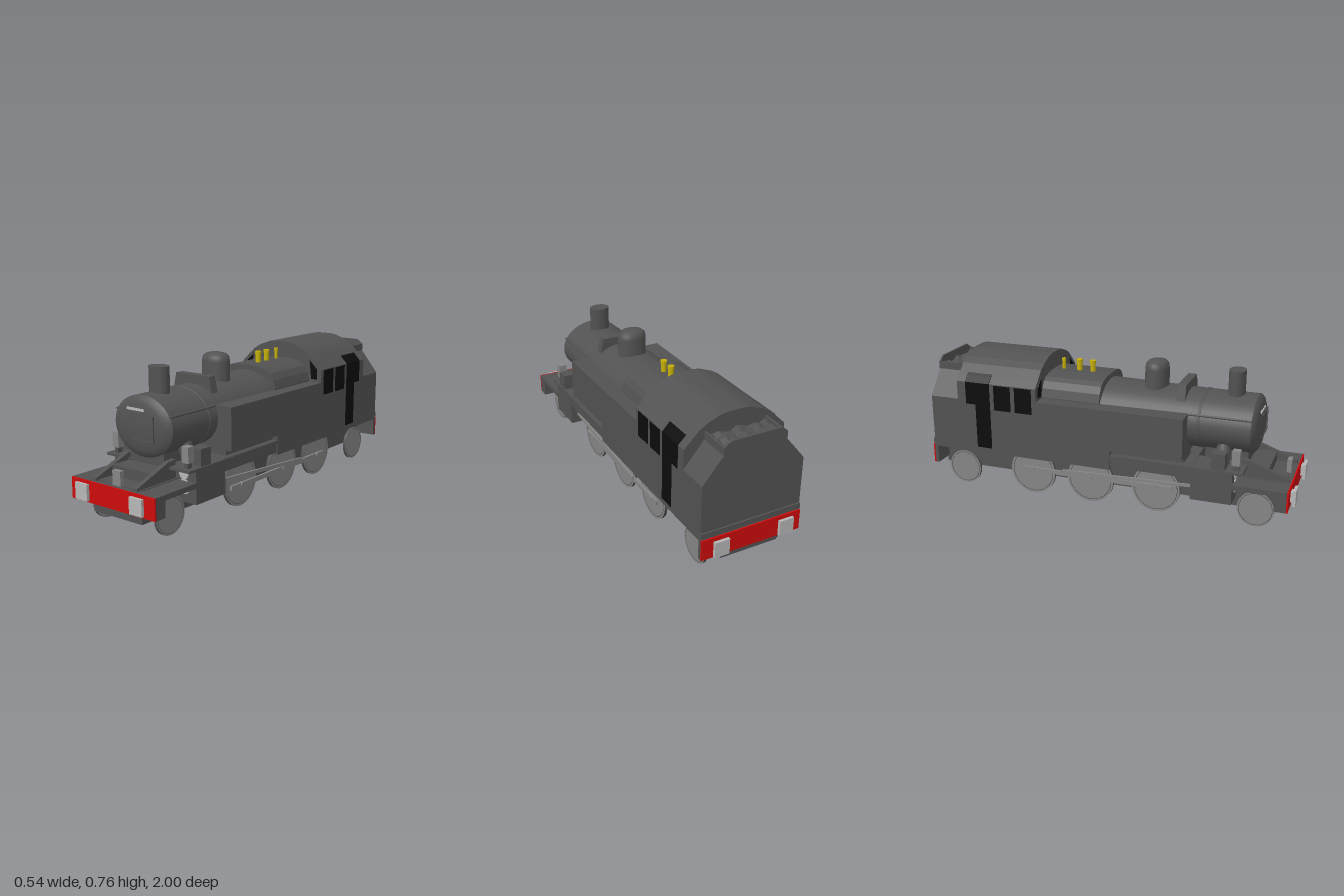
import * as THREE from 'three';

const mat = (name, color) => {
  const m = new THREE.MeshStandardMaterial({ color });
  m.name = name;
  return m;
};

export function createModel() {
  const body = mat('charcoal body', 0x525252);
  const steel = mat('wheel grey', 0x858585);
  const light = mat('light grey', 0xb6b6b6);
  const red = mat('beam red', 0xcc0c0c);
  const black = mat('opening black', 0x0c0c0c);
  const brass = mat('brass yellow', 0xc4b008);
  const root = new THREE.Group();
  root.name = 'tankLocomotive';

  const add = (name, geo, m) => {
    const mesh = new THREE.Mesh(geo, m);
    mesh.name = name;
    root.add(mesh);
    return mesh;
  };
  const box = (name, m, x0, x1, y0, y1, z0, z1) => add(name,
    new THREE.BoxGeometry(x1 - x0, y1 - y0, z1 - z0)
      .translate((x0 + x1) / 2, (y0 + y1) / 2, (z0 + z1) / 2), m);
  // Box on one side of the model (s = 1 or -1), given by distances from the middle
  const sideBox = (name, m, s, x0, x1, ...yz) =>
    box(name, m, Math.min(s * x0, s * x1), Math.max(s * x0, s * x1), ...yz);
  const shape = (pts) => new THREE.Shape(pts.map(([a, b]) => new THREE.Vector2(a, b)));
  // Cross-section (x, y) swept along z
  const alongZ = (name, m, pts, z0, z1) => add(name,
    new THREE.ExtrudeGeometry(shape(pts), { depth: z1 - z0, bevelEnabled: false }).translate(0, 0, z0), m);
  // Side profile (z, y) swept along x
  const alongX = (name, m, pts, x0, x1) => add(name,
    new THREE.ExtrudeGeometry(shape(pts.map(([z, y]) => [z, y])), { depth: x1 - x0, bevelEnabled: false })
      .rotateY(-Math.PI / 2).translate(x1, 0, 0), m);
  const mirrored = (half) => [...half, ...[...half].reverse().map(([x, y]) => [-x, y])];
  const lathe = (pts) => new THREE.LatheGeometry(pts.map(([r, h]) => new THREE.Vector2(r, h)), 40);
  // Rod between two points
  const rod = (name, m, a, b, r, seg = 12) => {
    const p = new THREE.Vector3(...a), q = new THREE.Vector3(...b);
    const mesh = add(name, new THREE.CylinderGeometry(r, r, p.distanceTo(q), seg), m);
    mesh.position.copy(p).add(q).multiplyScalar(0.5);
    mesh.quaternion.setFromUnitVectors(new THREE.Vector3(0, 1, 0), q.sub(p).normalize());
  };

  // Boiler and smokebox, wider than tall
  const barrel = (name, pts) => add(name,
    lathe(pts).rotateX(Math.PI / 2).scale(1.25, 1, 1).translate(0, 0.472, 0), body);
  barrel('boiler', [[0.158, -0.03], [0.148, 0.5]]);
  barrel('smokebox', [[0.148, 0.5], [0.148, 0.757]]);
  barrel('boilerBand', [[0.148, 0.485], [0.151, 0.487], [0.151, 0.499], [0.148, 0.501]]);
  barrel('smokeboxDoor', [[0.148, 0.757], [0.135, 0.771], [0.11, 0.781], [0.06, 0.79], [0, 0.793]]);
  box('doorPlate', light, -0.075, 0.034, 0.549, 0.561, 0.765, 0.789);
  for (const y of [0.41, 0.53]) box('doorStrap', body, -0.05, 0.095, y, y + 0.005, 0.77, 0.793);
  box('doorHinge', body, 0.088, 0.095, 0.41, 0.535, 0.77, 0.793);

  // Chimney and dome
  add('chimney', new THREE.CylinderGeometry(0.043, 0.043, 0.15, 32)
    .scale(1.28, 1, 1).translate(0, 0.667, 0.645), body);
  add('dome', lathe([[0.066, 0.59], [0.062, 0.62], [0.062, 0.71], [0.058, 0.735], [0.045, 0.749], [0.02, 0.756], [0, 0.757]])
    .scale(1.25, 1, 1).translate(0, 0, 0.227), body);
  alongZ('boilerSaddle', body, mirrored([[0.13, 0.56], [0.106, 0.665]]), 0.365, 0.41);

  // Firebox and safety valves
  alongZ('firebox', body, mirrored([[0.19, 0.5], [0.19, 0.545], [0.178, 0.59], [0.157, 0.625],
    [0.13, 0.642], [0.1, 0.65], [0.05, 0.656]]), -0.36, -0.025);
  for (const [z, r, h] of [[-0.13, 0.017, 0.715], [-0.205, 0.017, 0.715], [-0.295, 0.011, 0.713]]) {
    rod('safetyValve', brass, [0, 0.64, z], [0, h - 0.015, z], r * 0.85, 16);
    rod('safetyValveCap', brass, [0, h - 0.015, z], [0, h, z], r, 16);
  }

  // Cab with faceted roof
  alongZ('cab', body, mirrored([[0.268, 0.235], [0.268, 0.61], [0.24, 0.638], [0.187, 0.69],
    [0.145, 0.715], [0.077, 0.74], [0.04, 0.745]]), -0.8, -0.345);

  // Bunker with raised rim and coal
  alongZ('bunker', body, mirrored([[0.268, 0.235], [0.268, 0.51], [0.165, 0.635]]), -0.96, -0.8);
  alongZ('bunkerBackRim', body, mirrored([[0.165, 0.63], [0.165, 0.675], [0.13, 0.7]]), -0.963, -0.953);
  box('rearSill', body, -0.268, 0.268, 0.235, 0.265, -0.968, -0.955);
  const coal = new THREE.PlaneGeometry(0.31, 0.15, 10, 5).rotateX(-Math.PI / 2);
  const cp = coal.attributes.position;
  for (let i = 0; i < cp.count; i++) cp.setY(i, 0.655 + 0.014 * Math.sin(i * 2.7) * Math.cos(i * 1.3));
  const coalFlat = coal.toNonIndexed().translate(0, 0, -0.877);
  coalFlat.computeVertexNormals();
  add('coal', coalFlat, body);

  for (const s of [1, -1]) {
    // Side tanks
    sideBox('sideTank', body, s, 0.06, 0.268, 0.325, 0.54, -0.36, 0.44);
    sideBox('tankLowerPart', body, s, 0.06, 0.268, 0.235, 0.33, -0.36, 0.06);
    sideBox('valance', body, s, 0.1, 0.262, 0.235, 0.3, 0.06, 0.49);
    sideBox('runningBoard', body, s, 0.1, 0.268, 0.286, 0.298, 0.06, 0.745);
    sideBox('tankSupport', body, s, 0.1, 0.235, 0.298, 0.33, 0.06, 0.44);
    sideBox('bunkerRim', body, s, 0.155, 0.165, 0.63, 0.675, -0.96, -0.8);
    rod('handrail', body, [s * 0.169, 0.536, 0.44], [s * 0.169, 0.536, 0.76], 0.006, 8);

    // Cab openings
    sideBox('sideWindow', black, s, 0.266, 0.271, 0.47, 0.605, -0.465, -0.37);
    sideBox('sideWindow', black, s, 0.266, 0.271, 0.47, 0.605, -0.585, -0.49);
    sideBox('doorway', black, s, 0.266, 0.271, 0.25, 0.49, -0.695, -0.61);
    alongZ('doorwayTop', black, [[0.266, 0.49], [0.271, 0.49], [0.271, 0.611], [0.243, 0.641],
      [0.231, 0.653], [0.227, 0.65], [0.238, 0.637], [0.266, 0.608]].map(([x, y]) => [s * x, y]), -0.75, -0.61);
    alongZ('frontWindow', black, [[0.24, 0.555], [0.24, 0.61], [0.193, 0.656], [0.205, 0.555]]
      .map(([x, y]) => [s * x, y]), -0.346, -0.341);

    // Steam pipes, cylinders and front fittings
    rod('steamPipe', body, [s * 0.11, 0.42, 0.62], [s * 0.19, 0.25, 0.62], 0.037, 20);
    sideBox('cylinderBlock', body, s, 0.14, 0.266, 0.125, 0.286, 0.485, 0.695);
    rod('valveCover', light, [s * 0.195, 0.265, 0.69], [s * 0.195, 0.265, 0.703], 0.027, 24);
    rod('cylinderCover', light, [s * 0.195, 0.202, 0.69], [s * 0.195, 0.202, 0.701], 0.036, 24);
    sideBox('lubricatorBox', body, s, 0.2, 0.262, 0.298, 0.382, 0.585, 0.655);
    sideBox('frontLamp', steel, s, 0.206, 0.246, 0.325, 0.402, 0.685, 0.725);
    sideBox('lampFoot', body, s, 0.215, 0.237, 0.29, 0.325, 0.69, 0.72);
    const fx = s > 0 ? 0.118 : -0.145;
    alongX('framePlate', body, [[0.955, 0.225], [0.955, 0.245], [0.745, 0.322], [0.7, 0.325], [0.7, 0.225]], fx, fx + 0.027);
    rod('axleEnd', body, [s * 0.15, 0.1, 0.85], [s * 0.172, 0.1, 0.85], 0.011, 12);

    // Bumper pads at both ends
    for (const z of [1, -1]) {
      const zs = (a, b) => z > 0 ? [a, b] : [-b, -a];
      sideBox('bumperPad', light, s, 0.136, 0.214, 0.14, 0.221, ...zs(0.985, 1));
      sideBox('bumperStock', light, s, 0.15, 0.2, 0.154, 0.207, ...zs(0.96, 0.986));
    }

    // Wheels
    const axles = [[0.807, 0.094], [0.29, 0.128], [-0.07, 0.128], [-0.4, 0.128], [-0.815, 0.094]];
    for (const [z, r] of axles) {
      add('wheel', new THREE.CylinderGeometry(r, r, 0.015, 40).rotateZ(Math.PI / 2)
        .translate(s * 0.2, r, z), [body, steel, steel]);
      add('wheelRing', new THREE.TorusGeometry(r * 0.9, 0.0015, 4, 40).rotateY(Math.PI / 2)
        .translate(s * 0.2075, r, z), body);
      rod('axle', body, [0, r, z], [s * 0.2, r, z], 0.015);
    }

    // Rods, with the cranks set differently on each side
    const ry = s > 0 ? 0.112 : 0.14;
    sideBox('couplingRod', steel, s, 0.208, 0.22, ry - 0.012, ry + 0.012, -0.46, 0.375);
    alongX('connectingRod', steel, [[0.48, 0.173], [0.48, 0.187], [-0.22, ry + 0.027], [-0.22, ry + 0.005]],
      s > 0 ? 0.221 : -0.232, s > 0 ? 0.232 : -0.221);
    for (const z of [0.29, -0.07, -0.4]) rod('crankPin', steel, [s * 0.2, ry, z], [s * 0.225, ry, z], 0.015);
  }

  // Underframe
  box('frontFrame', body, -0.155, 0.155, 0.075, 0.235, 0.485, 0.94);
  box('mainFrame', body, -0.155, 0.155, 0.09, 0.3, -0.955, 0.485);
  box('rearFootplate', body, -0.268, 0.268, 0.222, 0.24, -0.955, 0.06);
  box('smokeboxSaddle', body, -0.11, 0.11, 0.23, 0.37, 0.52, 0.74);
  box('frontStep', body, -0.12, 0.12, 0.225, 0.287, 0.7, 0.85);
  box('frontFootplate', body, -0.267, 0.267, 0.205, 0.231, 0.69, 0.964);

  // Red end beams
  box('frontBeam', red, -0.268, 0.268, 0.125, 0.23, 0.964, 0.972);
  box('frontBeamBacking', body, -0.268, 0.268, 0.125, 0.23, 0.905, 0.964);
  box('rearBeam', red, -0.268, 0.268, 0.125, 0.23, -0.972, -0.964);
  box('rearBeamBacking', body, -0.268, 0.268, 0.125, 0.23, -0.964, -0.945);
  box('centreLamp', steel, -0.02, 0.031, 0.228, 0.302, 0.922, 0.945);

  return root;
}
